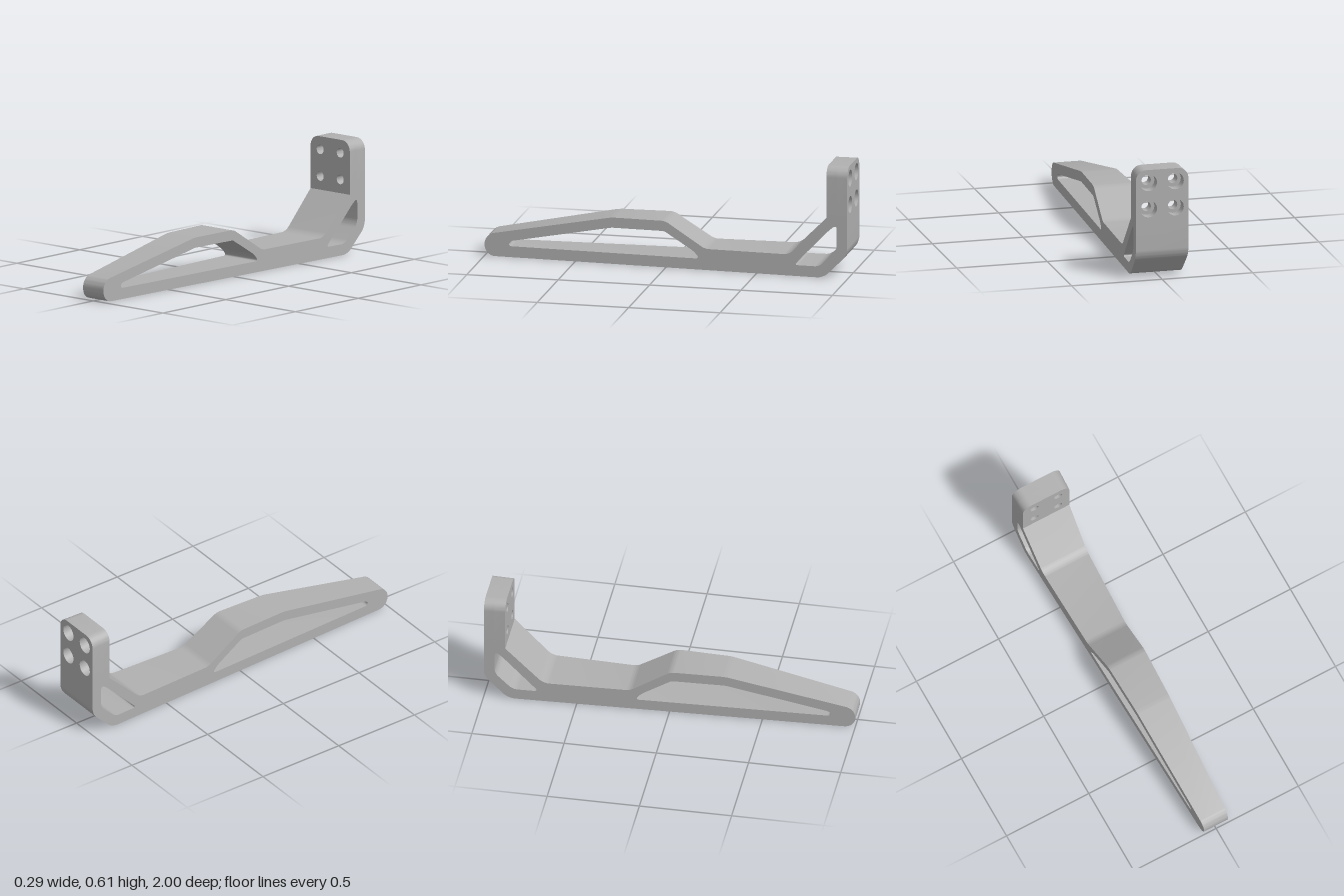
import * as THREE from 'three';
import { toCreasedNormals } from 'three/addons/utils/BufferGeometryUtils.js';

// half width of the tapering bracket at depth z
const halfWidth = (z) => 0.109 - 0.036 * z;

// closed polygon with corners [x, y, cut] rounded over the cut length
function roundedPath(path, points) {
  const n = points.length;
  const toward = (a, b, d) => {
    const l = Math.hypot(b[0] - a[0], b[1] - a[1]);
    return [a[0] + ((b[0] - a[0]) * d) / l, a[1] + ((b[1] - a[1]) * d) / l];
  };
  points.forEach((p, i) => {
    const prev = points[(i + n - 1) % n];
    const next = points[(i + 1) % n];
    const cut = p[2] || 0;
    const a = toward(p, prev, cut);
    if (i === 0) path.moveTo(...a);
    else path.lineTo(...a);
    if (cut) {
      path.bezierCurveTo(...toward(p, prev, cut * 0.45), ...toward(p, next, cut * 0.45), ...toward(p, next, cut));
    }
  });
  path.closePath();
  return path;
}

const extrude = (shape, depth) =>
  new THREE.ExtrudeGeometry(shape, { depth, bevelEnabled: false, curveSegments: 10 });

function circle(x, y, r) {
  const path = new THREE.Path();
  path.absarc(x, y, r, 0, Math.PI * 2, true);
  return path;
}

// scale x by a factor that depends on z
function taper(geometry, factor) {
  const pos = geometry.attributes.position;
  for (let i = 0; i < pos.count; i++) pos.setX(i, pos.getX(i) * factor(pos.getZ(i)));
  return geometry;
}

export function createModel() {
  const group = new THREE.Group();
  const metal = new THREE.MeshStandardMaterial({ color: 0xb0b0b0 });
  metal.name = 'grey metal';
  const add = (name, geometry) => {
    const mesh = new THREE.Mesh(toCreasedNormals(geometry, 0.4), metal);
    mesh.name = name;
    group.add(mesh);
  };

  const joinY = 0.32;
  const plateFront = -0.885;
  const slab = { front: -0.2, back: -0.66, height: 0.07 };

  // side profile as [z, y, cut], with a notch below for the drilled insert
  const flip = (points) => points.map(([z, y, cut]) => [-z, y, cut]);
  const profile = roundedPath(new THREE.Shape(), flip([
    [1, 0, 0.058], [slab.front, 0], [slab.front, slab.height], [slab.back, slab.height], [slab.back, 0],
    [-0.868, 0, 0.035], [-1, 0.132, 0.035], [-1, joinY], [plateFront, joinY],
    [-0.68, 0.116, 0.03], [-0.215, 0.116, 0.02], [0.005, 0.255, 0.02], [0.3, 0.255, 0.02], [1, 0.117, 0.05],
  ]));
  profile.holes.push(
    // long front window
    roundedPath(new THREE.Path(), flip([
      [0.875, 0.06, 0.025], [-0.185, 0.06, 0.02], [-0.155, 0.098, 0.02],
      [0.01, 0.199, 0.01], [0.3, 0.199, 0.01], [0.86, 0.088, 0.014],
    ])),
    // rear corner window
    roundedPath(new THREE.Path(), flip([
      [-0.705, 0.06, 0.022], [-0.845, 0.06, 0.025], [-0.942, 0.155, 0.025],
      [-0.942, 0.295, 0.025], [-0.905, 0.268, 0.02],
    ])),
  );
  const body = extrude(profile, 1).rotateY(Math.PI / 2).translate(-0.5, 0, 0);
  add('body', taper(body, (z) => 2 * halfWidth(z)));

  // underside insert with three blind holes
  const wf = halfWidth(slab.front);
  const wb = halfWidth(slab.back);
  const base = roundedPath(new THREE.Shape(), [
    [-wf, -slab.front], [wf, -slab.front], [wb, -slab.back], [-wb, -slab.back],
  ]);
  for (const z of [-0.29, -0.435, -0.58]) base.holes.push(circle(0, -z, 0.029));
  add('drilledBase', extrude(base, slab.height).rotateX(-Math.PI / 2));

  // mounting plate in two layers: narrow holes in front, counterbores behind
  function plateLayer(name, z0, z1, radius) {
    const w = 0.145;
    const outline = roundedPath(new THREE.Shape(), [
      [-w, joinY], [w, joinY], [w, 0.61, 0.057], [-w, 0.61, 0.057],
    ]);
    for (const x of [-0.074, 0.074]) {
      for (const y of [0.394, 0.539]) outline.holes.push(circle(x, y, radius));
    }
    const layer = extrude(outline, z1 - z0).translate(0, 0, z0);
    add(name, taper(layer, (z) => halfWidth(z) / w));
  }
  plateLayer('plateFront', -0.945, plateFront, 0.026);
  plateLayer('plateBack', -1, -0.945, 0.046);

  return group;
}
